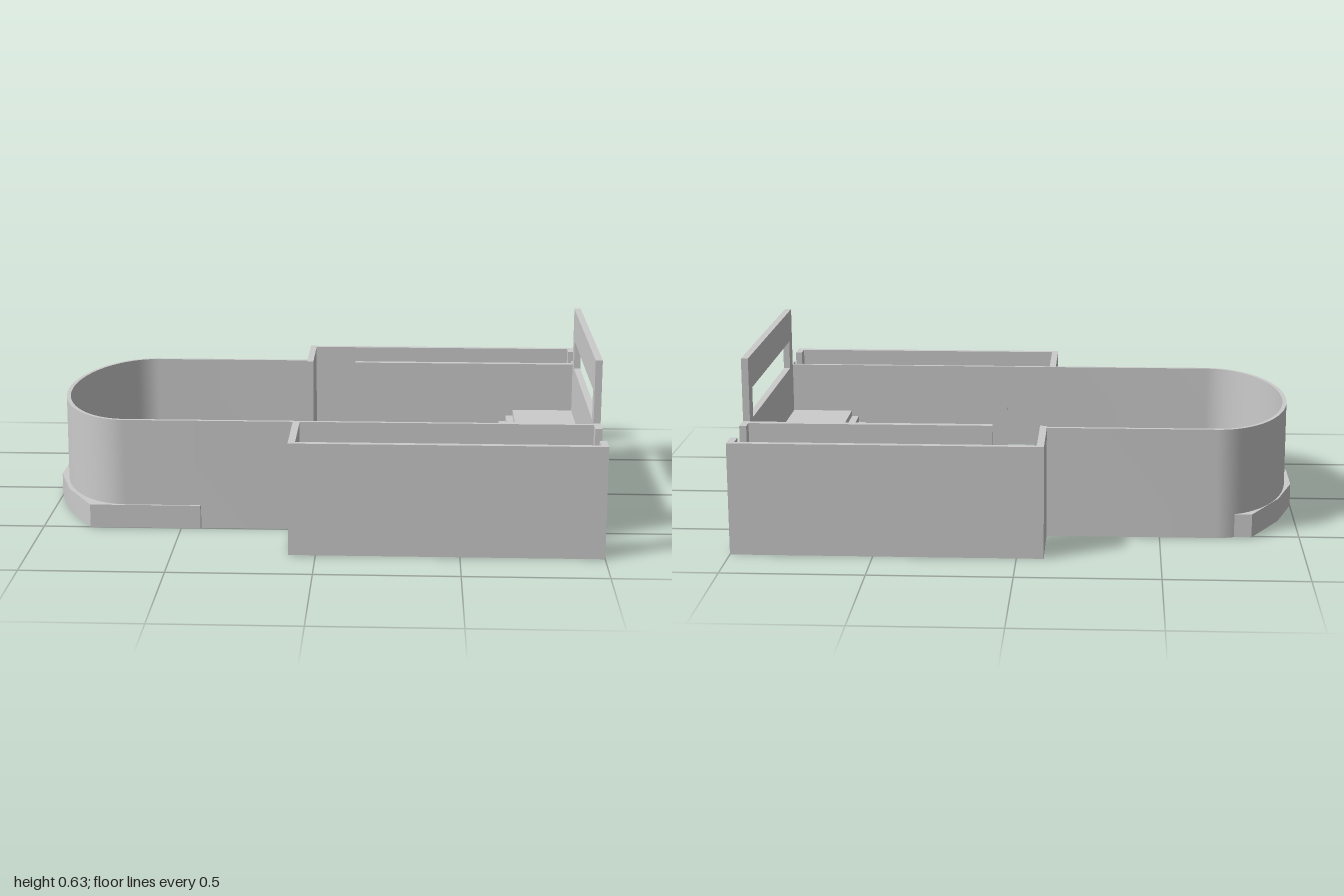
import * as THREE from 'three';
import { toCreasedNormals } from 'three/addons/utils/BufferGeometryUtils.js';

const material = new THREE.MeshStandardMaterial({ color: 0xcccccc, side: THREE.DoubleSide });
const WALL = 0.4;

export function createModel() {
  const model = new THREE.Group();

  const add = (name, geometry) => {
    const mesh = new THREE.Mesh(geometry, material);
    mesh.name = name;
    model.add(mesh);
  };

  // Box given by its two extreme corners
  const block = (name, x0, x1, y0, y1, z0, z1) => {
    const g = new THREE.BoxGeometry(x1 - x0, y1 - y0, z1 - z0);
    add(name, g.translate((x0 + x1) / 2, (y0 + y1) / 2, (z0 + z1) / 2));
  };

  // Plan outline (x, z) raised from the ground to a height
  const raise = (name, shape, height) => {
    const g = new THREE.ExtrudeGeometry(shape, { depth: height, bevelEnabled: false, curveSegments: 32 });
    g.rotateX(Math.PI / 2).translate(0, height, 0);
    add(name, toCreasedNormals(g, 0.4));
  };

  // Rounded wall around the stage
  const hall = new THREE.Shape();
  hall.moveTo(-0.07, 0.495);
  hall.lineTo(-0.7, 0.495);
  hall.absellipse(-0.7, -0.015, 0.28, 0.51, Math.PI / 2, Math.PI * 1.5, false);
  hall.lineTo(-0.07, -0.525);
  hall.lineTo(-0.07, -0.51);
  hall.lineTo(-0.7, -0.51);
  hall.absellipse(-0.7, -0.015, 0.265, 0.495, Math.PI * 1.5, Math.PI / 2, true);
  hall.lineTo(-0.07, 0.48);
  raise('stageWall', hall, WALL);

  // Stage platform with a faceted back and a bowed front edge
  const cx = -1.41, radius = 1.1, spread = Math.asin(0.503 / radius);
  const stage = new THREE.Shape();
  stage.moveTo(-0.43, 0.503);
  [[-0.83, 0.503], [-0.94, 0.3], [-1, 0.1], [-1, -0.1], [-0.94, -0.3], [-0.83, -0.51], [-0.43, -0.51]]
    .forEach(([x, z]) => stage.lineTo(x, z));
  stage.absarc(cx, 0, radius, -spread, spread, false);
  raise('stage', stage, 0.085);

  // Curved stairs at both ends of the stage front
  for (const side of [-1, 1]) {
    for (let i = 0; i < 3; i++) {
      const inner = radius + i * 0.024, outer = inner + 0.024;
      const a = side * 0.23, b = side * 0.4;
      const step = new THREE.Shape();
      step.absarc(cx, 0, outer, a, b, side < 0);
      step.absarc(cx, 0, inner, b, a, side > 0);
      raise('stageStep', step, 0.064 - i * 0.021);
    }
  }

  // Side galleries: cross wall, long outer wall and short return
  for (const side of [-1, 1]) {
    const span = (name, x0, x1, a, b) =>
      block(name, x0, x1, 0, WALL, Math.min(side * a, side * b), Math.max(side * a, side * b));
    span('galleryCrossWall', -0.095, -0.07, 0.495, 0.795);
    span('galleryOuterWall', -0.095, 1, 0.772, 0.795);
    span('galleryReturn', 0.975, 1, 0.715, 0.772);
  }

  // Inner side walls, one with a doorway beside the seating
  block('innerWallRight', 0.1, 0.975, 0, WALL, -0.505, -0.48);
  block('innerWallLeft', 0.1, 0.975, 0, WALL, 0.48, 0.495);
  block('doorLintel', -0.07, 0.1, 0.23, WALL, 0.48, 0.495);

  // End wall with an open frame rising above it
  const end = new THREE.Shape();
  end.moveTo(-0.55, 0);
  [[0.55, 0], [0.55, WALL], [0.475, WALL], [0.475, 0.63], [-0.475, 0.63], [-0.475, WALL], [-0.55, WALL]]
    .forEach(([z, y]) => end.lineTo(z, y));
  const opening = new THREE.Path();
  opening.moveTo(-0.41, WALL);
  [[-0.41, 0.51], [0.41, 0.51], [0.41, WALL]].forEach(([z, y]) => opening.lineTo(z, y));
  end.holes.push(opening);
  const endWall = new THREE.ExtrudeGeometry(end, { depth: 0.025, bevelEnabled: false });
  add('endWall', endWall.rotateY(Math.PI / 2).translate(0.975, 0, 0));

  // Seating tiers as a thin stepped shell; aisles get two extra small steps per tier
  const tiers = (name, z0, z1, stepsPerTier) => {
    const rise = 0.07, t = 0.012, top = [[0.1, 0]];
    [0.1, 0.39, 0.682].forEach((x, i) => {
      for (let s = 0; s < stepsPerTier; s++) {
        const sx = x + s * 0.028;
        const y = i * rise + rise * s / stepsPerTier;
        top.push([sx, y], [sx, y + rise / stepsPerTier]);
      }
    });
    top.push([0.975, 3 * rise]);
    const under = top.map(([x, y]) => [Math.min(x + t, 0.975), Math.max(y - t, 0)]).reverse();
    const profile = new THREE.Shape([...top, ...under].map(([x, y]) => new THREE.Vector2(x, y)));
    const g = new THREE.ExtrudeGeometry(profile, { depth: z1 - z0, bevelEnabled: false });
    add(name, g.translate(0, 0, z0));
  };
  tiers('seatingTiers', -0.278, 0.278, 1);
  tiers('aisleStairsRight', -0.48, -0.278, 3);
  tiers('aisleStairsLeft', 0.278, 0.48, 3);

  return model;
}
